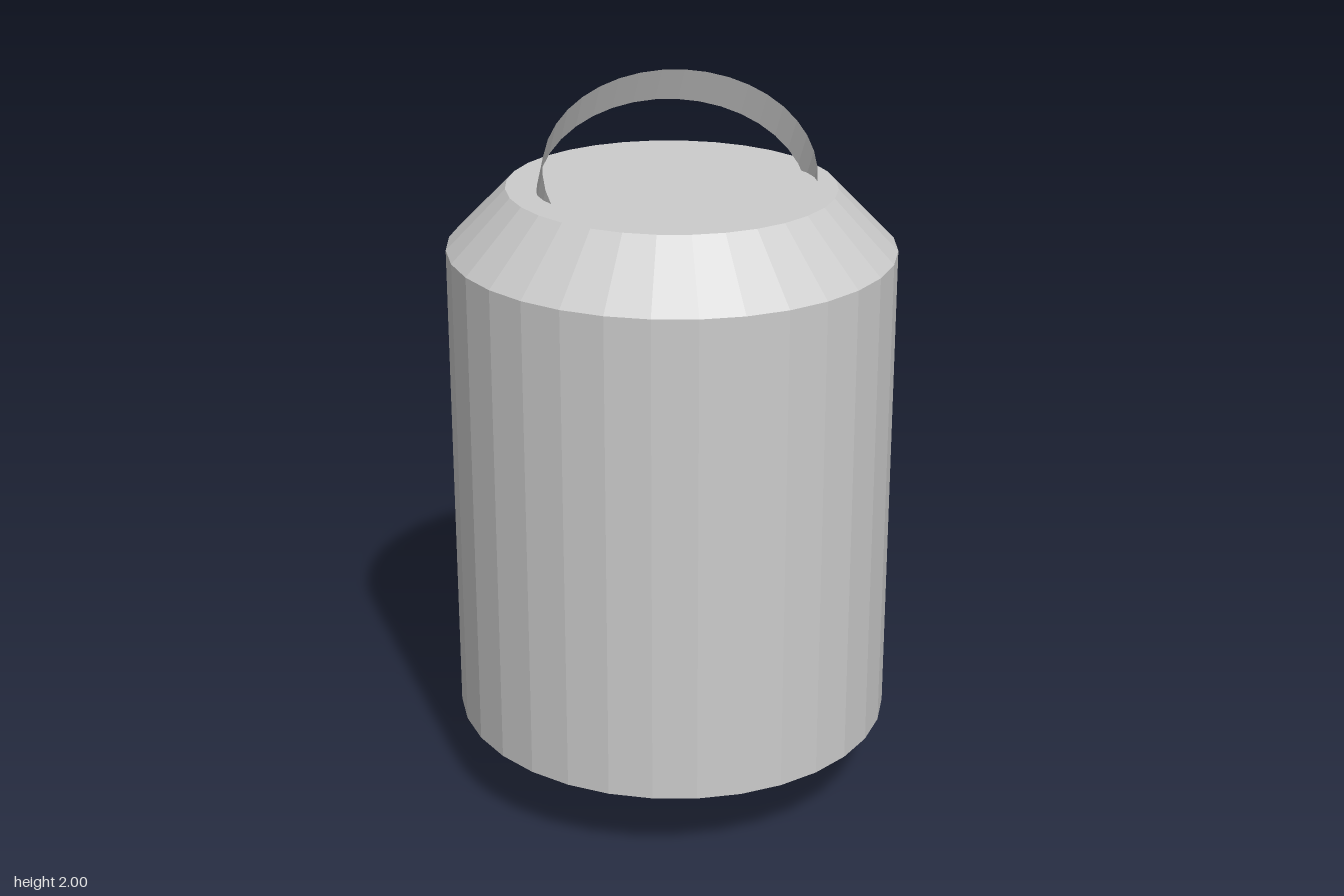
import * as THREE from 'three';

export function createModel() {
  const model = new THREE.Group();

  // Faceted canister: floor, flared base, straight wall, sloped shoulder, flat lid
  const profile = [[0, 0], [0.23, 0], [0.624, 0.21], [0.624, 1.555], [0.457, 1.72], [0, 1.72]]
    .map(([r, y]) => new THREE.Vector2(r, y));
  const body = new THREE.Mesh(
    new THREE.LatheGeometry(profile, 32),
    new THREE.MeshStandardMaterial({ color: 0xcccccc, flatShading: true })
  );
  body.name = 'canisterBody';
  body.scale.x = 0.968; // slightly oval
  model.add(body);

  // Carrying handle: a thin, backward-leaning band between two arched edges
  const steps = 22, overrun = 0.25;
  const positions = [], indices = [];
  for (let i = 0; i <= steps; i++) {
    const t = -overrun + (Math.PI + 2 * overrun) * i / steps;
    const x = 0.377 * Math.cos(t), y = 0.23 * Math.sin(t), z = -0.175 * Math.sin(t);
    positions.push(x + 0.015, y + 1.77, z + 0.045); // upper edge
    positions.push(x + 0.007, y + 1.68, z + 0.002); // lower edge
    if (i < steps) {
      const a = i * 2;
      indices.push(a, a + 1, a + 2, a + 1, a + 3, a + 2);
    }
  }
  const band = new THREE.BufferGeometry();
  band.setAttribute('position', new THREE.Float32BufferAttribute(positions, 3));
  band.setIndex(indices);
  band.computeVertexNormals();
  const handle = new THREE.Mesh(
    band,
    new THREE.MeshStandardMaterial({ color: 0xcccccc, flatShading: true, side: THREE.DoubleSide })
  );
  handle.name = 'handle';
  model.add(handle);

  return model;
}
